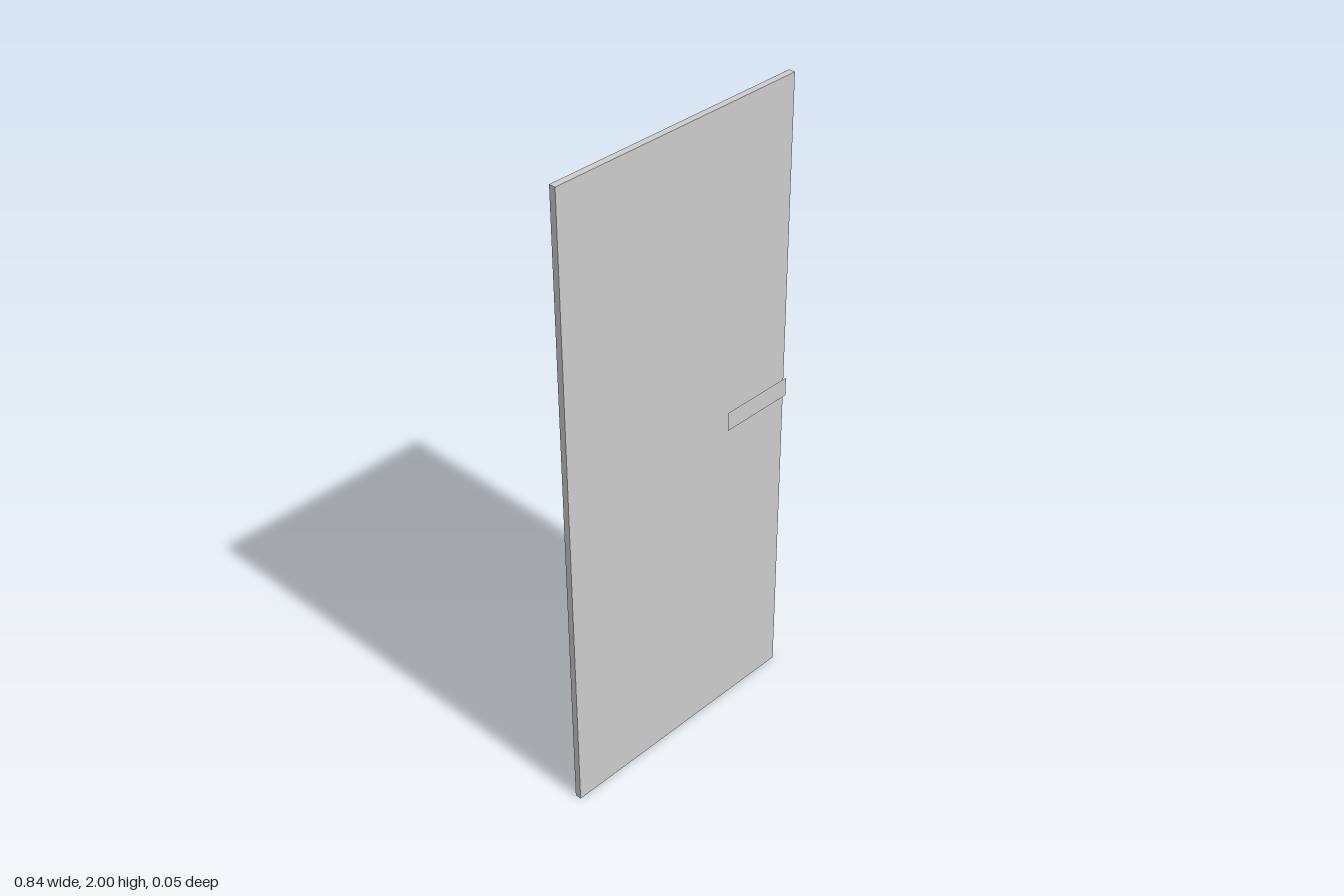
import * as THREE from 'three';

export function createModel() {
  const group = new THREE.Group();
  const material = new THREE.MeshStandardMaterial({ color: 0xcccccc });
  const thin = new THREE.MeshStandardMaterial({ color: 0xcccccc, side: THREE.DoubleSide });

  const add = (parent, name, geometry, mat, x, y, z) => {
    const mesh = new THREE.Mesh(geometry, mat);
    mesh.name = name;
    mesh.position.set(x, y, z);
    parent.add(mesh);
    return mesh;
  };

  // Door leaf
  const halfDepth = 0.01, reach = 0.024;
  add(group, 'doorPanel', new THREE.BoxGeometry(0.84, 2, halfDepth * 2), material, 0, 1, 0);

  // One handle on each face: a short square stem carrying a flat lever plate
  for (const side of [1, -1]) {
    const handle = new THREE.Group();
    handle.name = side > 0 ? 'frontHandle' : 'backHandle';
    add(handle, 'handleStem', new THREE.BoxGeometry(0.03, 0.03, reach - halfDepth), material,
      0.375, 1.04, side * (halfDepth + reach) / 2);
    const plate = add(handle, 'handleLever', new THREE.PlaneGeometry(0.24, 0.06), thin,
      0.295, 1.04, side * (reach + 0.0002));
    if (side < 0) plate.rotation.y = Math.PI;
    group.add(handle);
  }
  return group;
}
